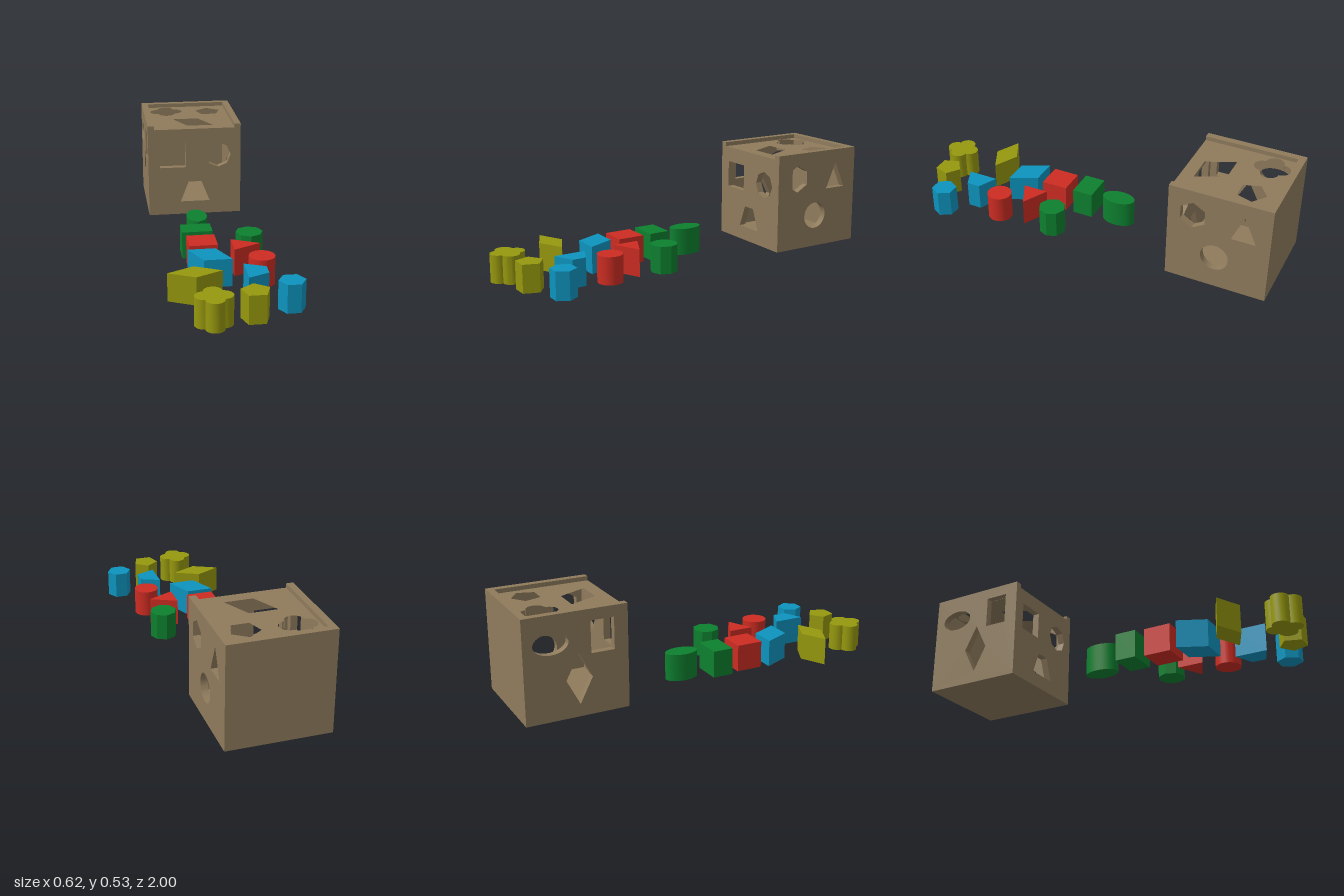
import * as THREE from 'three';
import { toCreasedNormals } from 'three/addons/utils/BufferGeometryUtils.js';

const material = (name, color) => {
  const m = new THREE.MeshStandardMaterial({ color });
  m.name = name;
  return m;
};

// Outlines as lists of [u, v] points
const rect = (u0, v0, u1, v1) => [[u0, v0], [u1, v0], [u1, v1], [u0, v1]];
const oval = (u, v, a, b, n = 48, start = 0) => Array.from({ length: n }, (_, i) => {
  const t = start + (i / n) * Math.PI * 2;
  return [u + a * Math.cos(t), v + b * Math.sin(t)];
});
const polygon = (u, v, r, n, start = 0) => oval(u, v, r, r, n, start);
const diamond = (u, v, a, b) => oval(u, v, a, b, 4);
// Four semicircles standing on the sides of a square
const quatrefoil = (u, v, r) => {
  const pts = [];
  for (let k = 0; k < 4; k++) {
    const dir = k * Math.PI / 2;
    for (let i = 0; i < 14; i++) {
      const t = dir - Math.PI / 2 + (i / 14) * Math.PI;
      pts.push([u + r * (Math.cos(dir) + Math.cos(t)), v + r * (Math.sin(dir) + Math.sin(t))]);
    }
  }
  return pts;
};

function extrude(outline, holes, depth, flip = 1) {
  const vec = (pts) => pts.map(([u, v]) => new THREE.Vector2(u, v * flip));
  const shape = new THREE.Shape(vec(outline));
  holes.forEach((h) => shape.holes.push(new THREE.Path(vec(h))));
  return toCreasedNormals(new THREE.ExtrudeGeometry(shape, { depth, bevelEnabled: false }), 0.5);
}

function add(parent, name, geometry, mat) {
  const mesh = new THREE.Mesh(geometry, mat);
  mesh.name = name;
  parent.add(mesh);
}

// Slab facing z (outline in x, y), x (outline in z, y) or y (outline in x, z)
const slabZ = (outline, holes, z, d) => extrude(outline, holes, d).translate(0, 0, z);
const slabX = (outline, holes, x, d) => extrude(outline, holes, d).rotateY(-Math.PI / 2).translate(x + d, 0, 0);
const slabY = (outline, holes, y, d) => extrude(outline, holes, d, -1).rotateX(-Math.PI / 2).translate(0, y, 0);

export function createModel() {
  const model = new THREE.Group();
  model.name = 'shapeSorter';

  const wood = material('wood', 0x8f7b5c);
  const green = material('green', 0x0d802f);
  const red = material('red', 0xcc2c22);
  const blue = material('blue', 0x0d93bd);
  const yellow = material('yellow', 0x96980e);

  // Hollow box with a recessed lid, open at the front of the recess
  const box = new THREE.Group();
  box.name = 'box';
  model.add(box);
  const t = 0.036, x0 = -0.31, x1 = 0.21, y0 = 0.005, y1 = 0.527, z0 = -1, z1 = -0.48, lid = 0.505;
  const side = rect(z0, y0, z1, y1);
  const inner = rect(x0 + t, z0 + t, x1 - t, z1 - t);

  add(box, 'frontWall', slabZ(rect(x0 + t, y0, x1 - t, lid), [
    rect(-0.245, 0.283, -0.1, 0.425),
    polygon(0.083, 0.35, 0.071, 8),
    [[-0.131, 0.08], [0.034, 0.08], [-0.012, 0.197], [-0.085, 0.197]],
  ], z1 - t, t), wood);
  add(box, 'backWall', slabZ(rect(x0 + t, y0, x1 - t, y1), [], z0, t), wood);
  add(box, 'leftWall', slabX(side, [
    polygon(-0.607, 0.39, 0.072, 6, Math.PI / 2),
    [[-0.928, 0.316], [-0.805, 0.316], [-0.866, 0.455]],
    polygon(-0.73, 0.177, 0.071, 48),
  ], x1 - t, t), wood);
  add(box, 'rightWall', slabX(side, [
    rect(-0.668, 0.31, -0.55, 0.47),
    oval(-0.865, 0.387, 0.087, 0.053),
    diamond(-0.73, 0.195, 0.066, 0.128),
  ], x0, t), wood);
  add(box, 'floor', slabY(inner, [], y0, t), wood);
  add(box, 'lid', slabY(inner, [
    quatrefoil(-0.175, -0.865, 0.046),
    polygon(0.069, -0.845, 0.074, 5, -Math.PI / 2),
    [[-0.15, -0.693], [-0.008, -0.693], [0.061, -0.548], [-0.082, -0.548]],
  ], lid - t, t), wood);

  // Loose blocks, one for each hole: name, outline in x and z, colour, bottom
  const blocks = [
    ['ovalBlock', oval(-0.087, -0.085, 0.054, 0.088), green, 0],
    ['rectangleBlock', rect(-0.19, 0.05, -0.034, 0.16), green, 0.005],
    ['octagonBlock', polygon(0.148, 0.189, 0.07, 8), green, 0.005],
    ['squareBlock', rect(-0.174, 0.203, -0.032, 0.343), red, 0.005],
    ['triangleBlock', [[0.04, 0.28], [0.178, 0.347], [0.04, 0.414]], red, 0.005],
    ['roundBlock', polygon(0.159, 0.501, 0.064, 48), red, 0.005],
    ['parallelogramBlock', [[-0.188, 0.384], [-0.05, 0.384], [0.014, 0.524], [-0.124, 0.524]], blue, 0.005],
    ['trapezoidBlock', [[0.055, 0.585], [0.157, 0.63], [0.157, 0.702], [0.055, 0.747]], blue, 0.005],
    ['hexagonBlock', polygon(0.246, 0.793, 0.065, 6), blue, 0.005],
    ['diamondBlock', diamond(-0.182, 0.655, 0.129, 0.063), yellow, 0.008],
    ['pentagonBlock', polygon(0.064, 0.88, 0.07, 5, -Math.PI / 2), yellow, 0.006],
    ['quatrefoilBlock', quatrefoil(-0.128, 0.911, 0.0445), yellow, 0.007],
  ];
  for (const [name, outline, mat, y] of blocks) add(model, name, slabY(outline, [], y, 0.142), mat);

  return model;
}
